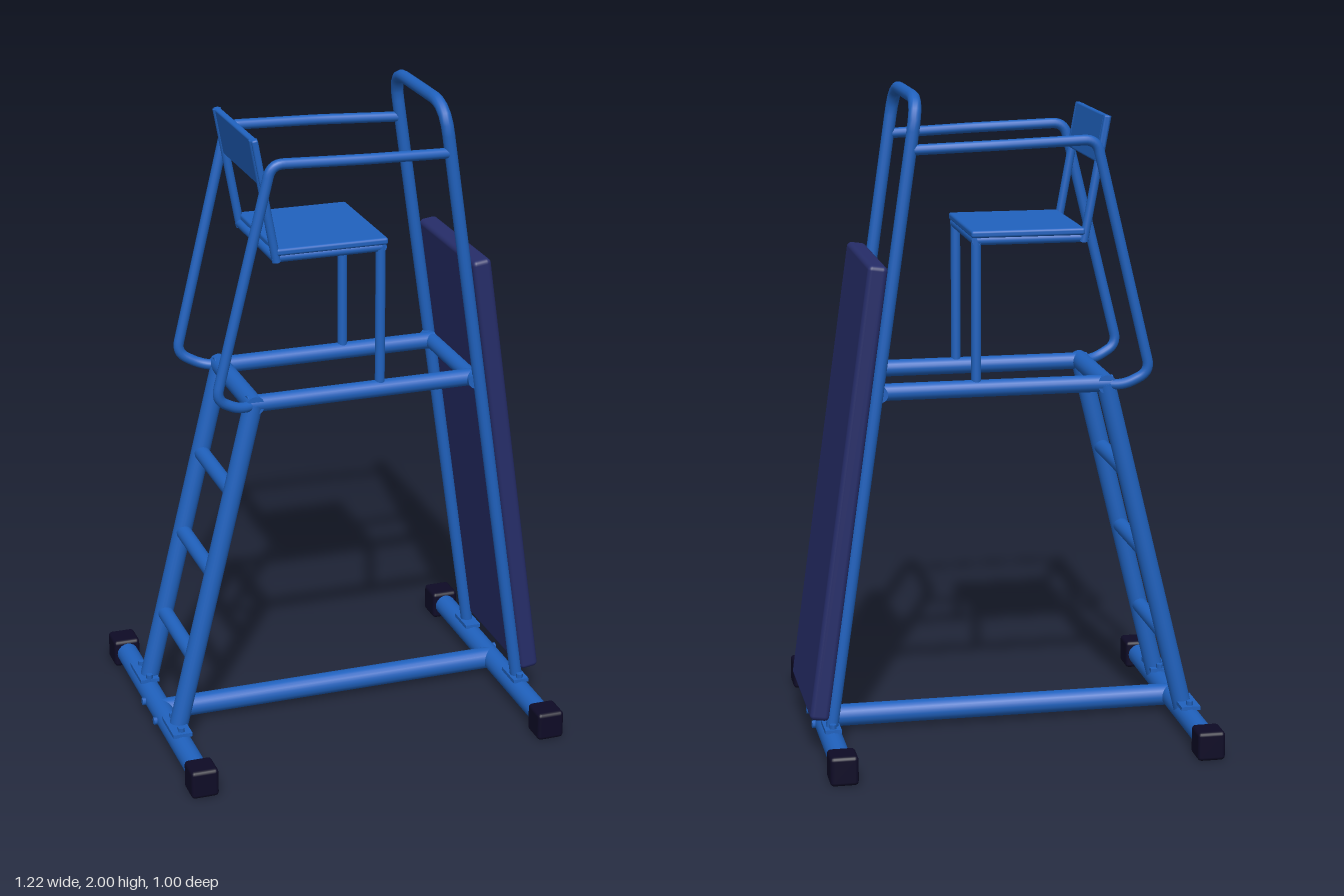
import * as THREE from 'three';
import { RoundedBoxGeometry } from 'three/addons/geometries/RoundedBoxGeometry.js';

const blue = new THREE.MeshStandardMaterial({ color: 0x2062bf });
blue.name = 'blue paint';
const navy = new THREE.MeshStandardMaterial({ color: 0x262d69 });
navy.name = 'navy padding';
const black = new THREE.MeshStandardMaterial({ color: 0x0e0b26 });
black.name = 'dark rubber';

const V = (x, y, z) => new THREE.Vector3(x, y, z);

export function createModel() {
  const model = new THREE.Group();
  model.name = 'umpireChair';

  const add = (name, geometry, material, position) => {
    const mesh = new THREE.Mesh(geometry, material);
    mesh.name = name;
    if (position) mesh.position.copy(position);
    model.add(mesh);
    return mesh;
  };

  // Straight round bar between two points
  const bar = (name, a, b, r, sides = 20) => {
    const d = b.clone().sub(a);
    const mesh = add(name, new THREE.CylinderGeometry(r, r, d.length(), sides), blue,
      a.clone().add(b).multiplyScalar(0.5));
    mesh.quaternion.setFromUnitVectors(V(0, 1, 0), d.normalize());
    return mesh;
  };

  // Bent pipe through points, with each inner corner rounded
  const pipe = (name, pts, r, bend) => {
    const path = new THREE.CurvePath();
    let from = pts[0];
    for (let i = 1; i < pts.length - 1; i++) {
      const p = pts[i];
      const inP = p.clone().add(pts[i - 1].clone().sub(p).setLength(bend));
      const outP = p.clone().add(pts[i + 1].clone().sub(p).setLength(bend));
      path.add(new THREE.LineCurve3(from, inP));
      path.add(new THREE.QuadraticBezierCurve3(inP, p, outP));
      from = outP;
    }
    path.add(new THREE.LineCurve3(from, pts[pts.length - 1]));
    return add(name, new THREE.TubeGeometry(path, 140, r, 14), blue);
  };

  const backX = -0.57, frontX = 0.545, baseY = 0.046;

  // Base: two cross tubes with rubber feet, joined by a middle tube
  for (const x of [backX, frontX]) {
    bar('baseTube', V(x, baseY, -0.47), V(x, baseY, 0.47), 0.034);
    for (const s of [-1, 1])
      add('rubberFoot', new RoundedBoxGeometry(0.085, 0.09, 0.09, 2, 0.012), black,
        V(x, 0.045, s * 0.455));
    // Bolts holding the middle tube
    for (const s of [-1, 1]) {
      const out = Math.sign(x);
      bar('baseBolt', V(x, baseY, s * 0.068), V(x + out * 0.043, baseY, s * 0.068), 0.012, 6);
    }
  }
  bar('middleTube', V(backX, baseY, 0), V(frontX, baseY, 0), 0.034);

  // Positions along the sloping ladder and the sloping front posts
  const ladderX = y => -0.565 + (y - 0.06) * 0.245;
  const postX = y => 0.27 + (1.98 - y) * 0.145;
  const railZ = 0.172, postZ = 0.213, deckY = 1.108;

  for (const s of [-1, 1]) {
    bar('ladderLeg', V(ladderX(0.05), 0.05, s * railZ), V(ladderX(deckY), deckY, s * railZ), 0.029);
    bar('deckRail', V(ladderX(deckY) - 0.02, deckY, s * railZ), V(postX(deckY), deckY, s * railZ), 0.026);

    // Mounting plates and bolts on the base
    add('mountPlate', new THREE.BoxGeometry(0.06, 0.012, 0.13), blue, V(backX, 0.083, s * 0.19));
    add('mountPlate', new THREE.BoxGeometry(0.05, 0.012, 0.1), blue, V(frontX, 0.083, s * 0.205));
    for (const [x, z] of [[backX, 0.235], [backX, 0.135], [frontX, 0.24]])
      bar('mountBolt', V(x, 0.08, s * z), V(x, 0.102, s * z), 0.011, 6);

    // Handrail from the front post, over the armrest and down to the deck
    pipe('handrail', [
      V(postX(1.833), 1.833, s * postZ),
      V(0.03, 1.843, s * 0.227),
      V(-0.262, 1.853, s * 0.222),
      V(-0.435, 1.148, s * 0.213),
      V(-0.355, 1.105, s * 0.2),
      V(-0.3, 1.108, s * railZ),
    ], 0.016, 0.075 / 2).name = 'handrail';

    // Seat supports
    bar('seatPost', V(0.09, deckY, s * railZ), V(0.09, 1.56, s * railZ), 0.015);
    bar('seatSideTube', V(-0.235, 1.556, s * railZ), V(0.09, 1.556, s * railZ), 0.015);
    bar('backrestUpright', V(-0.235, 1.545, s * 0.18), V(-0.303, 1.918, s * 0.18), 0.013);
  }

  // Ladder rungs
  for (const y of [0.3, 0.57, 0.83])
    bar('ladderRung', V(ladderX(y), y, -railZ), V(ladderX(y), y, railZ), 0.024);

  // Deck cross tubes
  bar('deckBackTube', V(ladderX(deckY), deckY, -0.195), V(ladderX(deckY), deckY, 0.195), 0.029);
  bar('deckFrontTube', V(postX(deckY) - 0.01, deckY, -postZ), V(postX(deckY) - 0.01, deckY, postZ), 0.024);

  // Tall front hoop
  pipe('frontHoop', [
    V(postX(0.06), 0.06, -postZ),
    V(postX(1.98), 1.98, -postZ),
    V(postX(1.98), 1.98, postZ),
    V(postX(0.06), 0.06, postZ),
  ], 0.019, 0.09);

  // Seat with cross tubes below
  add('seat', new RoundedBoxGeometry(0.345, 0.022, 0.39, 2, 0.008), blue, V(-0.065, 1.576, 0));
  for (const x of [-0.235, 0.09])
    bar('seatCrossTube', V(x, 1.556, -0.185), V(x, 1.556, 0.185), 0.015);

  // Backrest panel, leaning back with its uprights
  const back = add('backrest', new RoundedBoxGeometry(0.02, 0.142, 0.395, 2, 0.006), blue,
    V(-0.289, 1.85, 0));
  back.rotation.z = Math.atan(0.182);

  // Protective pad along the front posts
  const pad = add('frontPad', new RoundedBoxGeometry(0.06, 1.4, 0.465, 3, 0.015), navy,
    V(0.487, 0.804, 0));
  pad.rotation.z = Math.atan(0.14);

  return model;
}
